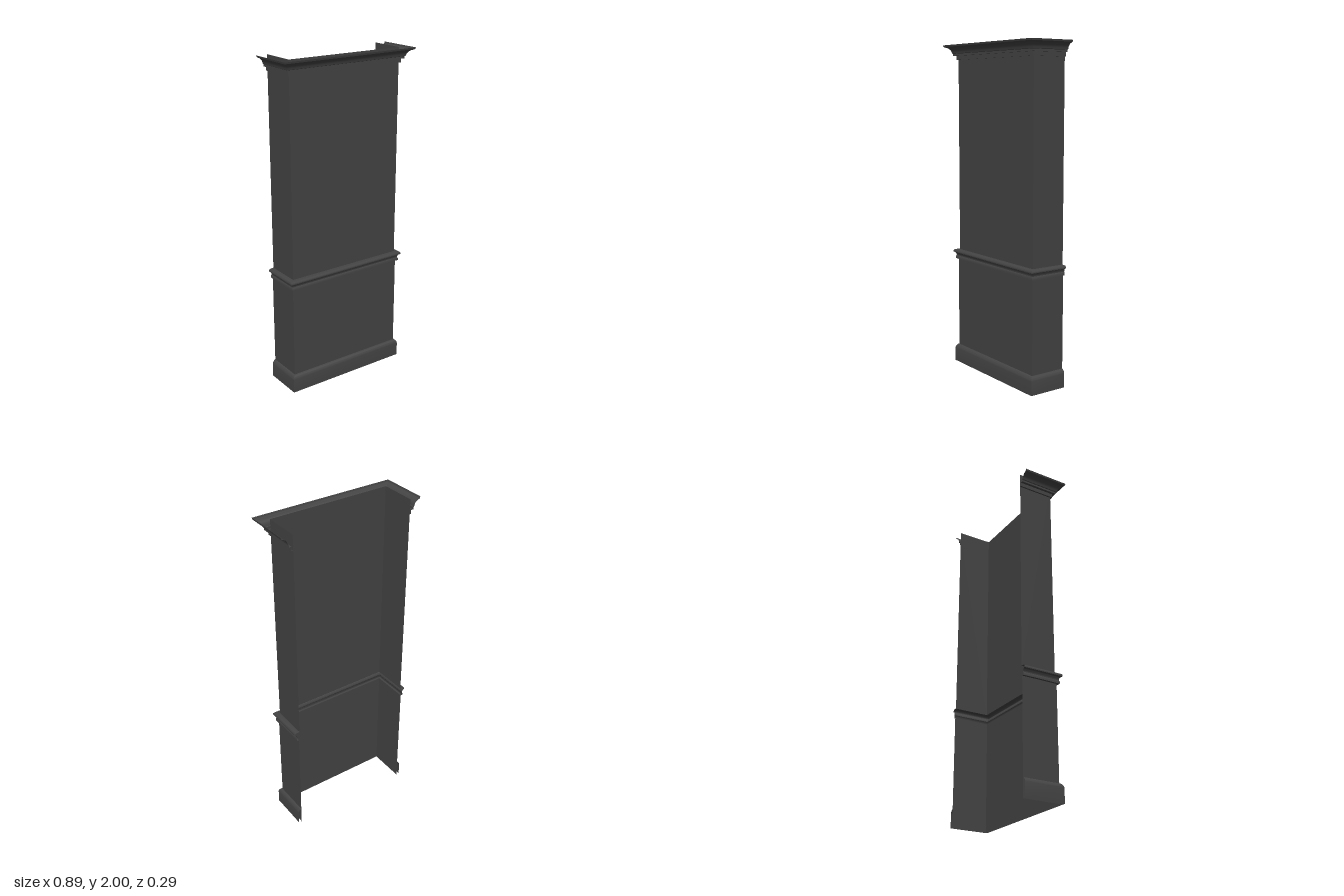
import * as THREE from 'three';
import { toCreasedNormals } from 'three/addons/utils/BufferGeometryUtils.js';

const HALF_WIDTH = 0.375, FRONT = 0.075, BACK = -0.143;

const material = new THREE.MeshStandardMaterial({ color: 0x444444, side: THREE.DoubleSide });

// Sweeps an open [outset, height] profile (bottom to top) round the two sides and
// the front, with mitred corners and an open back.
function sweep(name, profile) {
  const positions = [], index = [];
  for (const [o, y] of profile) {
    const x = HALF_WIDTH + o, z = FRONT + o;
    positions.push(-x, y, BACK, -x, y, z, x, y, z, x, y, BACK);
  }
  for (let j = 0; j < profile.length - 1; j++) {
    for (let i = 0; i < 3; i++) {
      const a = j * 4 + i, b = a + 1, c = b + 4, d = a + 4;
      index.push(a, b, c, a, c, d);
    }
  }
  const geometry = new THREE.BufferGeometry();
  geometry.setAttribute('position', new THREE.Float32BufferAttribute(positions, 3));
  geometry.setIndex(index);
  const mesh = new THREE.Mesh(toCreasedNormals(geometry, Math.PI / 6), material);
  mesh.name = name;
  return mesh;
}

// Points of a quadratic curve, for the coves and rounded edges of the mouldings.
function curve(from, control, to, steps = 6) {
  const q = new THREE.QuadraticBezierCurve(
    ...[from, control, to].map(([x, y]) => new THREE.Vector2(x, y)));
  return q.getPoints(steps).map((p) => [p.x, p.y]);
}

export function createModel() {
  const group = new THREE.Group();
  group.name = 'panelledSurround';

  // Thin wall panels
  group.add(sweep('lowerPanel', [[0.006, 0], [0.006, 0.672]]));
  group.add(sweep('upperPanel', [[0, 0.73], [0, 2]]));

  // Skirting with a rounded top edge
  group.add(sweep('skirting', [
    [0.025, 0],
    ...curve([0.025, 0.085], [0.022, 0.1], [0.012, 0.108]),
    [0.006, 0.11],
  ]));

  // Chair rail between the panels, hollow behind
  group.add(sweep('chairRail', [
    [0.006, 0.672], [0.019, 0.672], [0.019, 0.685],
    ...curve([0.015, 0.692], [0.016, 0.708], [0.024, 0.712]),
    ...curve([0.03, 0.714], [0.032, 0.726], [0.024, 0.73]),
    [0, 0.732],
  ]));

  // Crown moulding, open on top
  group.add(sweep('crownMoulding', [
    [0, 1.912], [0.009, 1.912], [0.009, 1.936], [0.024, 1.936], [0.024, 1.948],
    ...curve([0.028, 1.95], [0.034, 1.98], [0.058, 1.986], 8),
    [0.066, 1.99], [0.069, 2],
  ]));

  return group;
}
